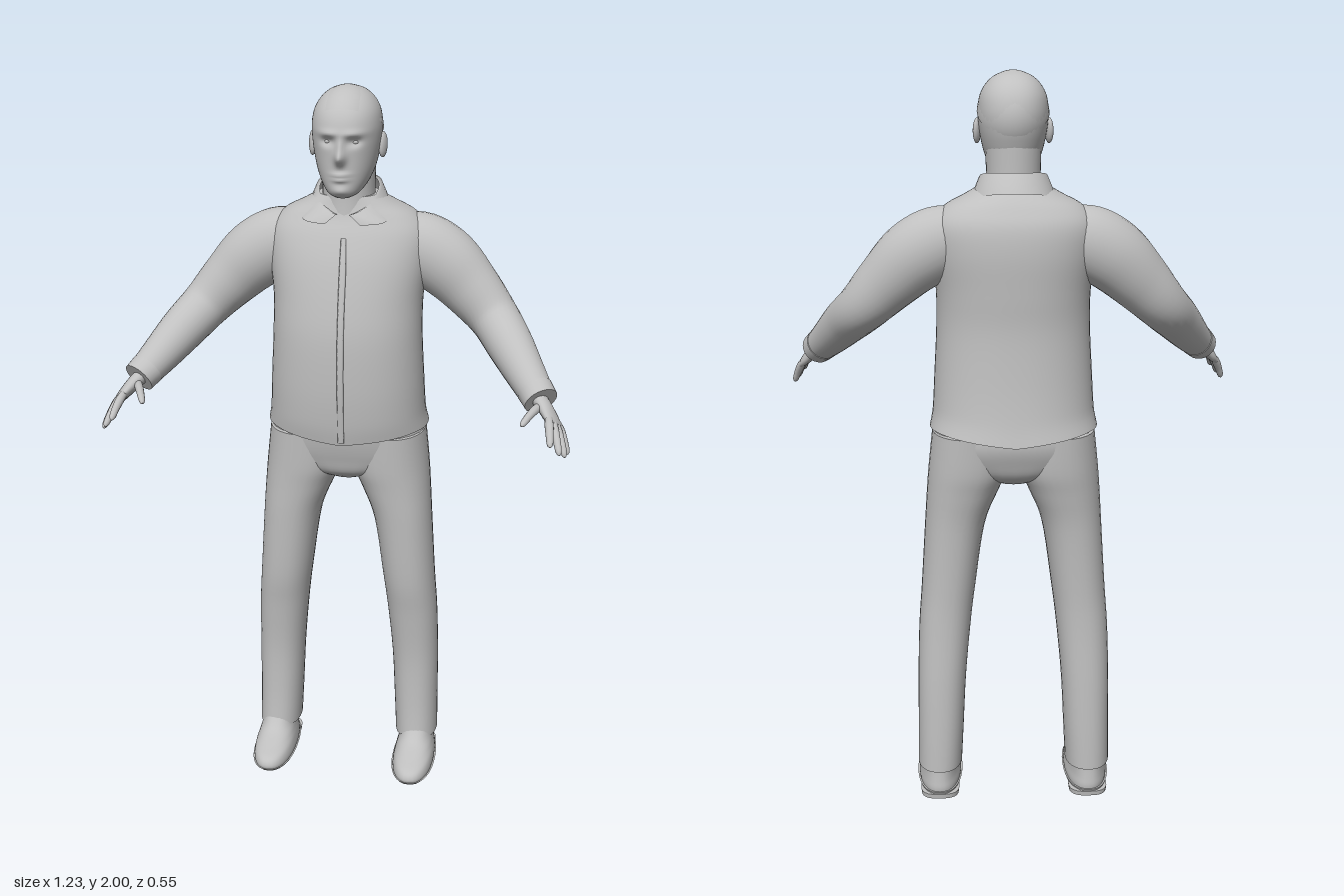
import * as THREE from 'three';

const grey = new THREE.MeshStandardMaterial({ color: 0xc0c0c0 });
grey.name = 'plain grey';
grey.side = THREE.DoubleSide;
const V = (x, y, z) => new THREE.Vector3(x, y, z);

// Catmull-Rom resampling of rows of numbers
function smoothRows(rows, steps) {
  const out = [];
  const at = i => rows[Math.min(Math.max(i, 0), rows.length - 1)];
  for (let i = 0; i < rows.length - 1; i++) {
    for (let s = 0; s < steps; s++) {
      const t = s / steps;
      out.push(rows[i].map((b, k) => {
        const a = at(i - 1)[k], c = at(i + 1)[k], d = at(i + 2)[k];
        return b + 0.5 * t * (c - a + t * (2 * a - 5 * b + 4 * c - d + t * (3 * (b - c) + d - a)));
      }));
    }
  }
  out.push(rows[rows.length - 1]);
  return out;
}

// Skin over sections { p: centre, u, v: half axes }, capped at both ends
function loft(sections, sides, power = 2, rule = null) {
  const pos = [], idx = [];
  const e = 2 / power;
  const pw = n => Math.sign(n) * Math.abs(n) ** e;
  for (const { p, u, v } of sections) {
    for (let i = 0; i < sides; i++) {
      const a = i / sides * Math.PI * 2;
      const q = p.clone().addScaledVector(u, pw(Math.cos(a))).addScaledVector(v, pw(Math.sin(a)));
      if (rule) rule(q);
      pos.push(q.x, q.y, q.z);
    }
  }
  const last = (sections.length - 1) * sides;
  for (let j = 0; j < last; j += sides) {
    for (let i = 0; i < sides; i++) {
      const k = (i + 1) % sides;
      idx.push(j + i, j + k, j + sides + k, j + i, j + sides + k, j + sides + i);
    }
  }
  for (const [start, up] of [[0, false], [last, true]]) {
    const c = pos.length / 3;
    for (let i = 0; i < sides; i++) pos.push(...pos.slice((start + i) * 3, (start + i) * 3 + 3));
    const p = sections[up ? sections.length - 1 : 0].p;
    pos.push(p.x, p.y, p.z);
    for (let i = 0; i < sides; i++) {
      const k = (i + 1) % sides;
      idx.push(c + sides, c + (up ? i : k), c + (up ? k : i));
    }
  }
  const g = new THREE.BufferGeometry();
  g.setAttribute('position', new THREE.Float32BufferAttribute(pos, 3));
  g.setIndex(idx);
  g.computeVertexNormals();
  return g;
}

// Upright form from rows [y, xMin, xMax, zFront, zBack]
const upright = (rows, sides = 40, power = 2.3, steps = 5, rule = null) =>
  loft(smoothRows(rows, steps).map(([y, a, b, f, k]) => ({
    p: V((a + b) / 2, y, (f + k) / 2),
    u: V((b - a) / 2, 0, 0),
    v: V(0, 0, -(f - k) / 2),
  })), sides, power, rule);

// Limb along rows [x, y, z, halfWidth, halfThickness]; side mirrors it in x
function limb(rows, side, sides = 20, steps = 5, across = V(0, 0, 0)) {
  const r = smoothRows(rows, steps).map(a => [a[0] * side, ...a.slice(1)]);
  const pts = r.map(a => V(a[0], a[1], a[2]));
  return loft(r.map((a, i) => {
    const t = pts[Math.min(i + 1, r.length - 1)].clone().sub(pts[Math.max(i - 1, 0)]).normalize();
    const u = across.lengthSq() ? V(across.x * side, across.y, across.z) : V(0, 1, 0).cross(t);
    u.addScaledVector(t, -u.dot(t)).normalize();
    const v = t.clone().cross(u);
    return { p: pts[i], u: u.multiplyScalar(a[3]), v: v.multiplyScalar(a[4]) };
  }), sides);
}

// Nose, brow, eye sockets, lips and chin pushed out of the head
function faceRule(q) {
  if (q.z < 0) return;
  const x = Math.abs(q.x);
  const bump = (h, cx, cy, wx, wy) => h * Math.exp(-(((x - cx) / wx) ** 2) - ((q.y - cy) / wy) ** 2);
  q.z += bump(0.027, 0, 1.833, 0.013, 0.018) + bump(0.012, 0, 1.86, 0.009, 0.022)
    + bump(0.006, 0.03, 1.893, 0.03, 0.009) - bump(0.012, 0.034, 1.872, 0.017, 0.011)
    + bump(0.008, 0, 1.79, 0.022, 0.006) + bump(0.008, 0, 1.777, 0.02, 0.006)
    + bump(0.007, 0, 1.748, 0.022, 0.012);
}

export function createModel() {
  const model = new THREE.Group();
  const add = (name, geometry) => {
    const m = new THREE.Mesh(geometry, grey);
    m.name = name;
    model.add(m);
    return m;
  };
  const even = rows => rows.map(([y, w, f, b]) => [y, -w, w, f, b]);

  // Jacket body, with the hem lifted at the sides
  add('jacket', upright(even([
    [1.06, 0.224, 0.07, -0.272], [1.12, 0.216, 0.08, -0.26], [1.22, 0.21, 0.087, -0.248],
    [1.35, 0.203, 0.085, -0.24], [1.45, 0.203, 0.07, -0.245], [1.55, 0.215, 0.045, -0.25],
    [1.62, 0.213, 0.018, -0.243], [1.665, 0.18, -0.005, -0.222], [1.695, 0.125, -0.015, -0.2],
    [1.72, 0.08, -0.02, -0.175],
  ]), 56, 2.2, 5, q => {
    if (q.y < 1.13) q.y += 0.022 * Math.min(1, Math.abs(q.x) / 0.2) * (1.13 - q.y) / 0.07;
  }));
  add('placket', limb([
    [0.006, 1.07, 0.073, 0.009, 0.003], [0.006, 1.22, 0.088, 0.009, 0.003],
    [0.006, 1.35, 0.086, 0.009, 0.003], [0.006, 1.45, 0.071, 0.009, 0.003],
    [0.006, 1.55, 0.046, 0.009, 0.003], [0.004, 1.62, 0.02, 0.007, 0.003],
  ], 1, 8, 5, V(1, 0, 0)));

  // Folded collar, open at the throat
  const pos = [], idx = [];
  const n = 40;
  for (let i = 0; i <= n; i++) {
    const a = 0.2 + i / n * (Math.PI * 2 - 0.4);
    const s = Math.sin(a), c = Math.cos(a), f = (1 + c) / 2;
    const tip = Math.max(0, c) ** 3;
    pos.push(0.078 * s, 1.752 - 0.075 * f * f, -0.095 + 0.078 * c + 0.02 * tip);
    pos.push(0.088 * s, 1.754 - 0.075 * f * f, -0.095 + 0.088 * c + 0.022 * tip);
    pos.push((0.112 + 0.13 * tip) * s, 1.705 - 0.05 * f, -0.1 + 0.112 * c + 0.006 * tip);
    if (i < n) {
      for (let k = 0; k < 2; k++) {
        const b = i * 3 + k;
        idx.push(b, b + 1, b + 4, b, b + 4, b + 3);
      }
    }
  }
  const collar = new THREE.BufferGeometry();
  collar.setAttribute('position', new THREE.Float32BufferAttribute(pos, 3));
  collar.setIndex(idx.reverse());
  collar.computeVertexNormals();
  add('collar', collar);

  // Neck and head
  add('neck', upright(even([
    [1.64, 0.075, -0.005, -0.175], [1.72, 0.07, -0.012, -0.168], [1.82, 0.072, -0.01, -0.168],
  ]), 28, 2));
  add('head', upright(even([
    [1.727, 0.02, 0.026, -0.02], [1.737, 0.04, 0.04, -0.06], [1.758, 0.058, 0.046, -0.12],
    [1.79, 0.073, 0.047, -0.155], [1.83, 0.083, 0.048, -0.173], [1.87, 0.089, 0.05, -0.183],
    [1.905, 0.09, 0.05, -0.184], [1.94, 0.084, 0.037, -0.174], [1.968, 0.068, 0.013, -0.154],
    [1.988, 0.044, -0.02, -0.124], [1.998, 0.014, -0.055, -0.09],
  ]), 96, 2.15, 8, faceRule));

  // Short hair, a shell swept back over the skull
  const hair = add('hair', new THREE.SphereGeometry(1, 40, 20, 0, Math.PI * 2, 0, 1.45));
  hair.geometry.rotateX(-0.5).scale(0.093, 0.114, 0.121);
  hair.position.set(0, 1.886, -0.066);

  // Hips
  add('hips', upright(even([
    [0.925, 0.05, -0.03, -0.15], [0.955, 0.14, 0.015, -0.2], [1.0, 0.212, 0.032, -0.222],
    [1.05, 0.218, 0.045, -0.235], [1.11, 0.205, 0.055, -0.23],
  ])));

  for (const s of [1, -1]) {
    const name = part => (s > 0 ? 'left' : 'right') + part;
    const sided = rows => rows.map(([y, a, b, f, k]) => [y, Math.min(a * s, b * s), Math.max(a * s, b * s), f, k]);

    // Trouser leg and shoe
    add(name('TrouserLeg'), upright(sided([
      [0.085, 0.148, 0.272, -0.02, -0.194], [0.2, 0.142, 0.27, -0.028, -0.192],
      [0.35, 0.134, 0.268, -0.028, -0.187], [0.5, 0.12, 0.263, -0.012, -0.18],
      [0.62, 0.105, 0.254, 0.006, -0.18], [0.8, 0.078, 0.242, 0.018, -0.19],
      [0.9, 0.04, 0.235, 0.024, -0.205], [0.97, 0.01, 0.229, 0.03, -0.218],
      [1.07, 0.012, 0.218, 0.035, -0.225],
    ]), 32, 2.2));
    add(name('Shoe'), upright(sided([
      [0.012, 0.152, 0.27, 0.108, -0.186], [0.03, 0.151, 0.272, 0.114, -0.188],
      [0.05, 0.155, 0.269, 0.1, -0.186], [0.068, 0.16, 0.264, 0.05, -0.184],
      [0.09, 0.164, 0.26, 0.0, -0.182], [0.13, 0.168, 0.256, -0.035, -0.178],
    ]), 36, 2.3));
    add(name('Sole'), upright(sided([
      [0.008, 0.152, 0.271, 0.1, -0.188], [0.02, 0.147, 0.276, 0.116, -0.192],
    ]), 36, 2.3, 2));
    add(name('Heel'), upright(sided([
      [0, 0.158, 0.264, -0.09, -0.19], [0.014, 0.156, 0.266, -0.085, -0.192],
    ]), 24, 2.8, 1));

    // Sleeve and cuff
    add(name('Sleeve'), limb([
      [0.12, 1.59, -0.118, 0.07, 0.075], [0.19, 1.573, -0.118, 0.082, 0.094],
      [0.26, 1.533, -0.115, 0.083, 0.094], [0.33, 1.467, -0.105, 0.073, 0.081],
      [0.395, 1.398, -0.08, 0.066, 0.068], [0.445, 1.345, -0.01, 0.061, 0.062],
      [0.49, 1.293, 0.055, 0.052, 0.053], [0.533, 1.245, 0.118, 0.043, 0.042],
    ], s, 28));
    add(name('Cuff'), limb([
      [0.518, 1.262, 0.095, 0.048, 0.047], [0.536, 1.243, 0.122, 0.046, 0.044],
    ], s, 24, 2));

    // Palm, fingers and thumb
    add(name('Palm'), limb([
      [0.52, 1.255, 0.1, 0.026, 0.022], [0.545, 1.233, 0.135, 0.028, 0.019],
      [0.562, 1.215, 0.158, 0.036, 0.016], [0.575, 1.2, 0.178, 0.036, 0.012],
      [0.579, 1.195, 0.184, 0.028, 0.006],
    ], s, 20, 4, V(-0.027, 0.03, 0.047)));
    const fingers = [
      ['Index', [0.56, 1.217, 0.195], [0.568, 1.176, 0.274]],
      ['Middle', [0.57, 1.207, 0.185], [0.592, 1.15, 0.258]],
      ['Ring', [0.578, 1.198, 0.174], [0.606, 1.134, 0.23]],
      ['Little', [0.586, 1.189, 0.16], [0.612, 1.128, 0.195]],
      ['Thumb', [0.532, 1.235, 0.145], [0.493, 1.213, 0.236]],
    ];
    for (const [finger, a, b] of fingers) {
      const rows = [[-0.15, 0.01], [0.2, 0.0115], [0.6, 0.01], [0.9, 0.008], [1, 0.002]].map(([t, r]) => [
        a[0] + (b[0] - a[0]) * t,
        a[1] + (b[1] - a[1]) * t + 0.02 * t * (1 - t),
        a[2] + (b[2] - a[2]) * t, r, r,
      ]);
      add(name(finger + 'Finger'), limb(rows, s, 12, 3));
    }

    // Ear and eye
    const ear = add(name('Ear'), new THREE.SphereGeometry(1, 16, 12));
    ear.scale.set(0.01, 0.033, 0.019);
    ear.position.set(s * 0.092, 1.85, -0.07);
    ear.rotation.set(-0.15, s * -0.3, 0);
    const eye = add(name('Eye'), new THREE.SphereGeometry(0.012, 16, 12));
    eye.scale.y = 0.7;
    eye.position.set(s * 0.034, 1.871, 0.022);
  }
  return model;
}
